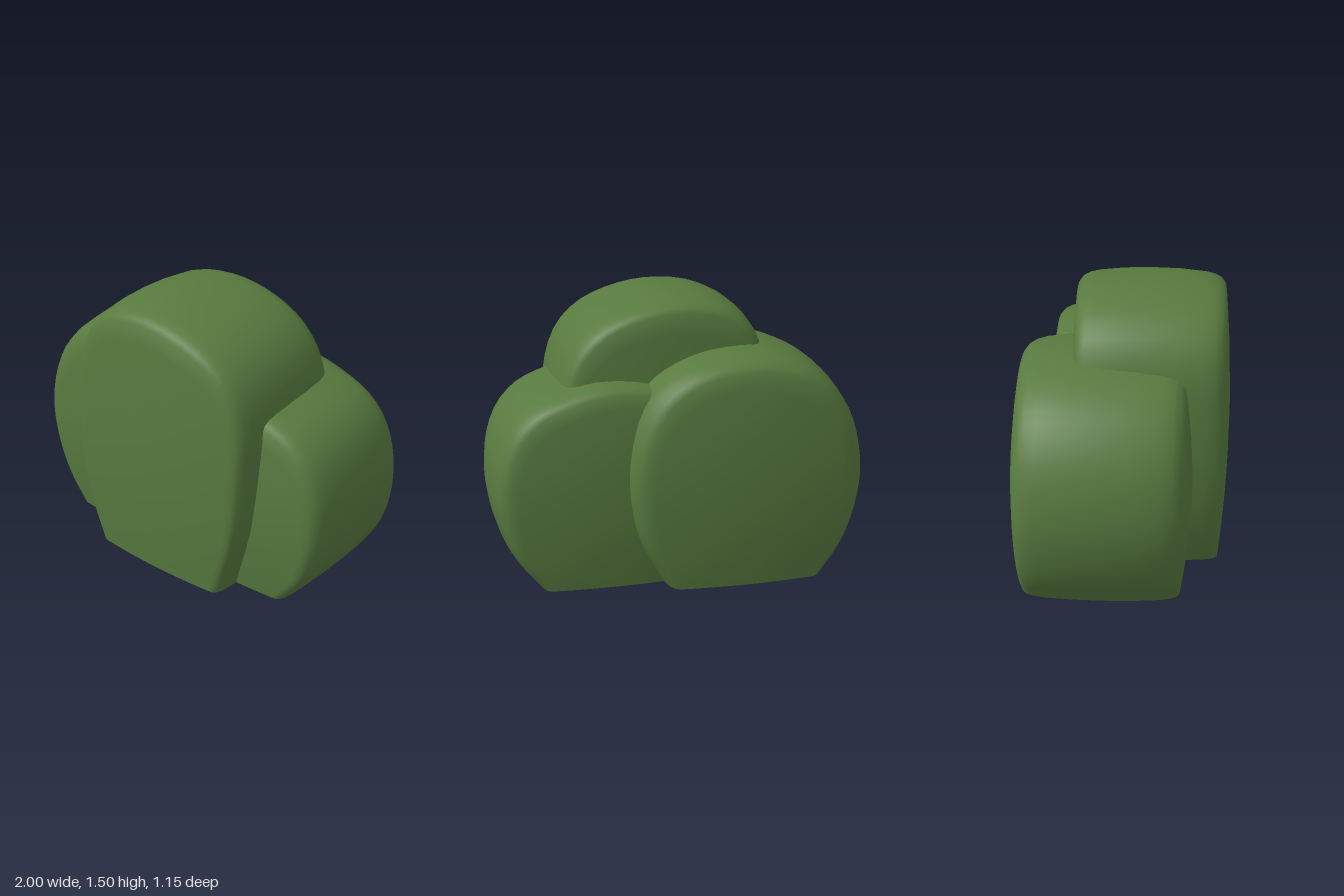
import * as THREE from 'three';
import { toCreasedNormals } from 'three/addons/utils/BufferGeometryUtils.js';

const SEGMENTS = 48;

// A puffy slab: an outline from left base over the top to right base, carried along z
// with rounded rims, bulging faces and a flat base.
function lobeGeometry({ outline, mid, half, bulge, rim }) {
  const curve = new THREE.CatmullRomCurve3(outline.map(([x, y]) => new THREE.Vector3(x, y, 0)));
  const points = curve.getSpacedPoints(SEGMENTS);
  const xs = points.map((p) => p.x);
  const left = Math.min(...xs), right = Math.max(...xs);
  const top = Math.max(...points.map((p) => p.y));
  const cx = (left + right) / 2, halfWidth = (right - left) / 2;

  // Each layer: [position through the depth, shrink at the rim, scale within the face]
  const frontHalf = [
    [0.4, 0.06, 1], [0.75, 0.25, 1], [0.88, 0.42, 1], [0.96, 0.66, 1], [1, 1, 1],
    [1, 1, 0.93], [1, 1, 0.8], [1, 1, 0.6], [1, 1, 0.4], [1, 1, 0.2], [1, 1, 0],
  ];
  const backHalf = frontHalf.map(([t, r, s]) => [-t, r, s]).reverse();
  const layers = [...backHalf, [0, 0, 1], ...frontHalf];

  const positions = [];
  for (const [t, shrink, s] of layers) {
    const sx = (1 - rim * shrink) * s;
    const sy = (1 - rim * 0.4 * shrink) * s;
    for (const p of points) {
      const x = cx + (p.x - cx) * sx;
      const y = Math.max(0, p.y * sy);
      const r2 = ((x - cx) / halfWidth) ** 2 + ((y - top * 0.45) / (top * 0.55)) ** 2;
      positions.push(x, y, mid + t * (half - bulge * r2));
    }
  }

  const index = [];
  const n = points.length;
  for (let i = 0; i < layers.length - 1; i++) {
    for (let j = 0; j < n; j++) {
      const k = (j + 1) % n;
      const a = i * n + j, b = i * n + k, c = a + n, d = b + n;
      if (i < layers.length - 2) index.push(a, c, d);
      if (i > 0) index.push(a, d, b);
      if (i === 0) index.push(a, c, d);
      if (i === layers.length - 2) index.push(a, c, b);
    }
  }
  // The first and last layers are single points, so keep only their real triangles
  const clean = [];
  for (let i = 0; i < index.length; i += 3) {
    const [a, b, c] = index.slice(i, i + 3).map((v) => new THREE.Vector3().fromArray(positions, v * 3));
    if (b.sub(a).cross(c.sub(a)).length() > 1e-9) clean.push(index[i], index[i + 1], index[i + 2]);
  }

  const geometry = new THREE.BufferGeometry();
  geometry.setAttribute('position', new THREE.Float32BufferAttribute(positions, 3));
  geometry.setIndex(clean);
  return toCreasedNormals(geometry, 0.75);
}

export function createModel() {
  const group = new THREE.Group();
  group.name = 'bush';
  const leafGreen = new THREE.MeshStandardMaterial({ color: 0x587a3f });
  leafGreen.name = 'leafGreen';

  const lobes = {
    // Tall lobe in front
    middleLobe: {
      outline: [[-0.4, 0], [-0.5, 0.3], [-0.55, 0.65], [-0.54, 1], [-0.5, 1.23], [-0.42, 1.37],
        [-0.28, 1.46], [-0.05, 1.5], [0.2, 1.47], [0.42, 1.38], [0.55, 1.25], [0.62, 1.05],
        [0.63, 0.8], [0.59, 0.4], [0.47, 0]],
      mid: 0.145, half: 0.43, bulge: 0.045, rim: 0.11,
    },
    // Wide lobe behind, on the -x side
    backLobe: {
      outline: [[-0.77, 0], [-0.92, 0.22], [-1, 0.55], [-0.97, 0.8], [-0.89, 0.98], [-0.74, 1.14],
        [-0.52, 1.23], [-0.3, 1.25], [-0.05, 1.21], [0.15, 1.1], [0.27, 0.92], [0.33, 0.62],
        [0.28, 0.3], [0.12, 0]],
      mid: -0.095, half: 0.478, bulge: 0.065, rim: 0.16,
    },
    // Low lobe on the +x side
    sideLobe: {
      outline: [[-0.08, 0], [-0.22, 0.25], [-0.28, 0.55], [-0.22, 0.85], [-0.05, 1.02], [0.2, 1.1],
        [0.42, 1.11], [0.63, 1.06], [0.8, 0.99], [0.91, 0.88], [0.98, 0.7], [0.99, 0.45],
        [0.92, 0.2], [0.77, 0]],
      mid: -0.01, half: 0.425, bulge: 0.06, rim: 0.13,
    },
  };

  for (const [name, shape] of Object.entries(lobes)) {
    const mesh = new THREE.Mesh(lobeGeometry(shape), leafGreen);
    mesh.name = name;
    group.add(mesh);
  }
  return group;
}
